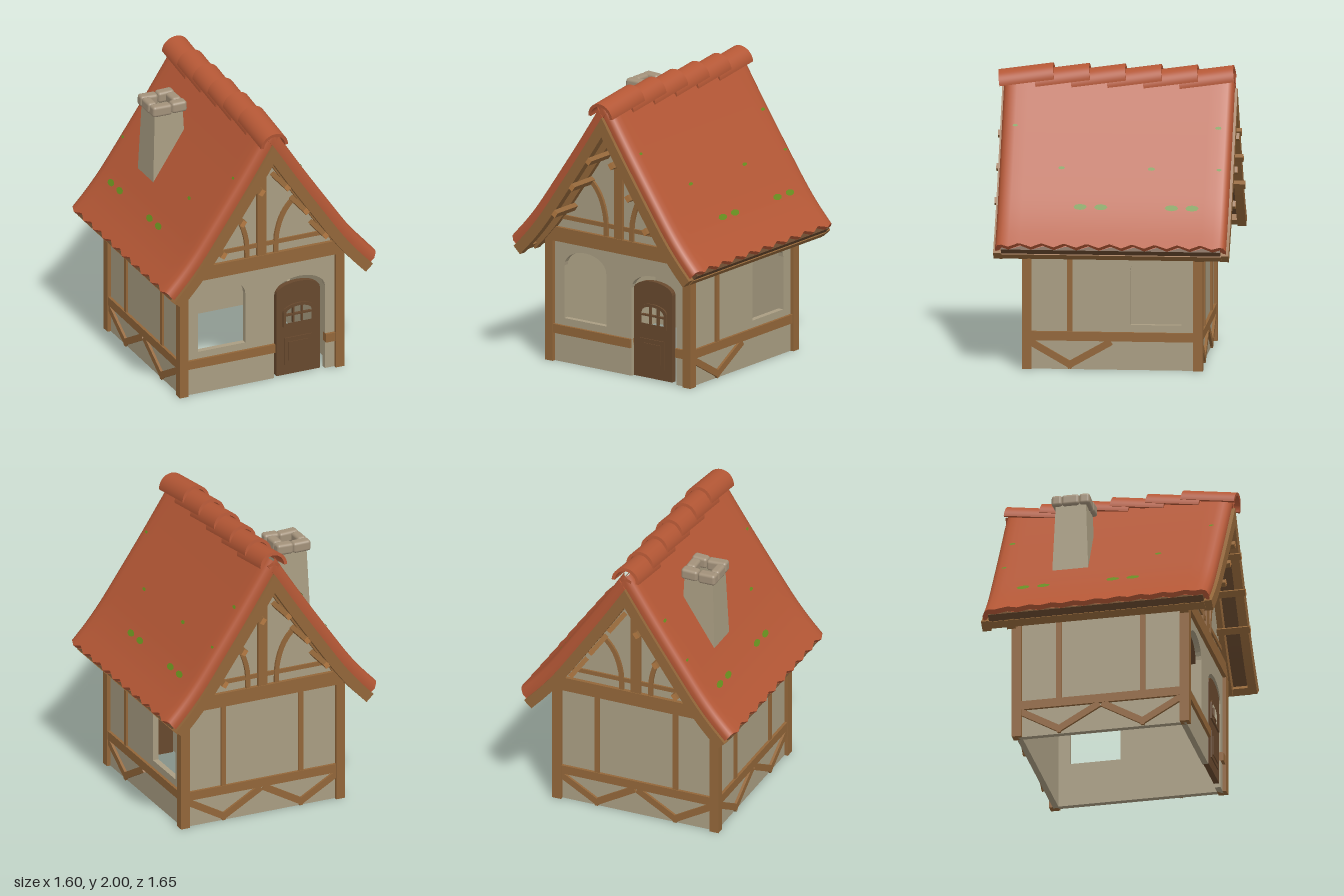
import * as THREE from 'three';
import { toCreasedNormals } from 'three/addons/utils/BufferGeometryUtils.js';
import { RoundedBoxGeometry } from 'three/addons/geometries/RoundedBoxGeometry.js';

const V = (x, y) => new THREE.Vector2(x, y);
const material = (name, color, side = THREE.FrontSide) => {
  const m = new THREE.MeshStandardMaterial({ color, side });
  m.name = name;
  return m;
};

export function createModel() {
  const house = new THREE.Group();
  house.name = 'cottage';
  const plaster = material('plaster', 0xa99d82, THREE.DoubleSide);
  const timber = material('timber', 0x926639);
  const cutWood = material('cut wood', 0xb47a42);
  const darkWood = material('dark wood', 0x67482d);
  const tile = material('roof tile', 0xb45735);
  const stone = material('stone', 0xa2917a);
  const moss = material('moss', 0x658c1e, THREE.DoubleSide);

  const add = (parent, name, geo, mat, x = 0, y = 0, z = 0) => {
    const m = new THREE.Mesh(geo, mat);
    m.name = name;
    m.position.set(x, y, z);
    parent.add(m);
    return m;
  };
  const box = (parent, name, mat, x0, x1, y0, y1, z0, z1) =>
    add(parent, name, new THREE.BoxGeometry(x1 - x0, y1 - y0, z1 - z0), mat,
      (x0 + x1) / 2, (y0 + y1) / 2, (z0 + z1) / 2);
  const slab = (parent, name, mat, shape, z0, z1) =>
    add(parent, name, new THREE.ExtrudeGeometry(shape, { depth: z1 - z0, bevelEnabled: false, curveSegments: 16 }), mat, 0, 0, z0);

  // Arched outline, from the lower left over the top to the lower right
  const arch = (x0, x1, y0, spring, top) => {
    const pts = [V(x0, y0)];
    for (let i = 0; i <= 14; i++) {
      const a = Math.PI * (1 - i / 14);
      pts.push(V((x0 + x1) / 2 + Math.cos(a) * (x1 - x0) / 2, spring + Math.sin(a) * (top - spring)));
    }
    return [...pts, V(x1, y0)];
  };

  // Roof slope curve; d is the depth below the tile surface
  const slope = new THREE.SplineCurve([V(0.025, 1.955), V(0.24, 1.623), V(0.477, 1.275), V(0.59, 1.115), V(0.69, 0.992), V(0.8, 0.874)]);
  const below = (t, d) => {
    const p = slope.getPoint(t), g = slope.getTangent(t);
    return V(p.x + g.y * d, p.y - g.x * d);
  };
  const half = (d) => {
    const pts = [];
    for (let i = 0; i <= 20; i++) pts.push(below(i / 20, d));
    const kept = pts.filter((p) => p.x > 0.01);
    const [a, b] = kept;
    return [V(0, a.y + a.x * (a.y - b.y) / (b.x - a.x)), ...kept];
  };
  const mirror = (pts) => pts.map((p) => V(-p.x, p.y));
  const chevron = (d0, d1) => {
    const o = half(d0), i = half(d1);
    return new THREE.Shape([...mirror(o).reverse(), ...o.slice(1), ...i.slice().reverse(), ...mirror(i).slice(1)]);
  };

  // Tiled slopes: edges rolled down over the gables and a toothed eave.
  // Each column is [z, top depth, bottom depth, notch]
  const edge = [[-0.775, 0.08, 0.084, 0.4], [-0.785, 0.045, 0.084, 0.4], [-0.768, 0.015, 0.084, 0.6], [-0.74, 0.003, 0.05, 0.5]];
  const columns = [...edge];
  for (let i = 1; i < 20; i++) columns.push([-0.77 + 0.077 * i, 0, 0.035, (i + 1) % 2]);
  columns.push(...edge.map(([z, ...rest]) => [-z, ...rest]).reverse());
  const loop = [...columns, ...columns.map(([z, , d, n]) => [z, d, d, n]).reverse()];
  const roofSide = (side) => {
    const rows = 20, n = loop.length, pos = [], index = [];
    const tri = (a, b, c) => (side > 0 ? index.push(a, b, c) : index.push(a, c, b));
    for (let r = 0; r <= rows; r++) {
      for (const [z, d, , notch] of loop) {
        const p = below(r / rows, d);
        if (r === rows) p.addScaledVector(slope.getTangent(1), -0.035 * notch);
        pos.push(side * p.x, p.y, z);
      }
    }
    for (let r = 0; r < rows; r++) {
      for (let c = 0; c < n; c++) {
        const a = r * n + c, b = r * n + (c + 1) % n;
        tri(a, b, a + n);
        tri(b, b + n, a + n);
      }
    }
    for (let c = 0; c < columns.length - 1; c++) {
      const a = rows * n + c, b = rows * n + n - 1 - c;
      tri(a, a + 1, b);
      tri(a + 1, b - 1, b);
    }
    const g = new THREE.BufferGeometry();
    g.setAttribute('position', new THREE.Float32BufferAttribute(pos, 3));
    g.setIndex(index);
    return toCreasedNormals(g, 0.8);
  };

  const patches = [[1.115, 0.22, 1], [1.115, 0.08, 1], [1.115, -0.4, 1], [1.115, -0.54, 1],
    [1.355, 0.36, 0.5], [1.355, -0.25, 0.55], [1.355, -0.71, 0.4], [1.61, 0.69, 0.4], [1.61, -0.69, 0.5]];
  for (const side of [1, -1]) {
    add(house, 'roofSlope', roofSide(side), tile);
    // Moss patches lying on the tiles
    for (const [y, z, size] of patches) {
      let t = 0;
      while (slope.getPoint(t).y > y) t += 0.004;
      const p = below(t, -0.005), g = slope.getTangent(t);
      const m = add(house, 'mossPatch', new THREE.CircleGeometry(0.046 * size, 8), moss, side * p.x, p.y, z);
      m.scale.y = 0.5;
      m.lookAt(p.x * side - g.y * side, p.y + g.x, z);
    }
    // Purlins under the rafters, with pale cut ends
    for (const [x, y] of [[0.38, 1.11], [0.235, 1.32], [0.095, 1.525]]) {
      const p = add(house, 'purlin', new THREE.BoxGeometry(0.034, 0.044, 1.64),
        [timber, timber, timber, timber, cutWood, cutWood], side * x, y, 0);
      p.rotation.z = side * 0.62;
    }
    // Batten along the eave
    const e = below(0.965, 0.11), g = slope.getTangent(0.965);
    const batten = add(house, 'eaveBatten', new THREE.BoxGeometry(0.05, 0.05, 1.5), timber, side * e.x, e.y, 0);
    batten.rotation.z = side * Math.atan2(g.y, g.x);
  }

  // Boards and rafters below the tiles
  slab(house, 'roofBoards', darkWood, chevron(0.036, 0.085), -0.745, 0.745);
  for (const z of [-0.77, -0.6, 0.6, 0.77]) slab(house, 'rafter', timber, chevron(0.08, 0.153), z - 0.03, z + 0.03);

  // Overlapping ridge caps
  const cap = new THREE.Shape();
  cap.absarc(0, 0, 0.1, 0, Math.PI, false);
  cap.absarc(0, 0, 0.078, Math.PI, 0, true);
  const capGeo = toCreasedNormals(new THREE.ExtrudeGeometry(cap, { depth: 0.375, bevelEnabled: false, curveSegments: 14 }), 0.6);
  for (let i = 0; i < 6; i++) {
    add(house, 'ridgeCap', capGeo, tile, 0, 1.902, 0.44 - 0.245 * i).rotation.x = 0.14;
  }

  // Chimney: open tapered shaft with a ring of stones
  const shaft = new THREE.CylinderGeometry(0.105 * Math.SQRT2, 0.128 * Math.SQRT2, 0.58, 4, 1, true).rotateY(Math.PI / 4).toNonIndexed();
  shaft.computeVertexNormals();
  add(house, 'chimneyShaft', shaft, plaster, -0.35, 1.48, -0.24);
  const stones = [[-0.415, -0.333, 0.13, 0.074], [-0.288, -0.335, 0.122, 0.074], [-0.405, -0.145, 0.145, 0.074],
    [-0.278, -0.143, 0.112, 0.074], [-0.447, -0.24, 0.066, 0.122], [-0.265, -0.24, 0.07, 0.118]];
  stones.forEach(([x, z, w, d], i) => {
    const s = add(house, 'chimneyStone', new RoundedBoxGeometry(w, 0.078, d, 3, 0.02), stone, x, 1.798 + (i % 2) * 0.005, z);
    s.rotation.set(0, (i % 3 - 1) * 0.03, (i % 2 - 0.5) * 0.06);
  });

  // Walls: each is laid out facing +z, then turned into place
  const window = (x0, x1) => new THREE.Path(arch(x0, x1, 0.31, 0.68, 0.795));
  const bar = (parent, name, x0, y0, x1, y1, w) => {
    const b = add(parent, name, new THREE.BoxGeometry(Math.hypot(x1 - x0, y1 - y0), w, 0.04), timber, (x0 + x1) / 2, (y0 + y1) / 2, 0.588);
    b.rotation.z = Math.atan2(y1 - y0, x1 - x0);
  };
  const wall = (name, turn, { gable, door = [], hole, studs, rails = [[-0.57, 0.57]] }) => {
    const g = new THREE.Group();
    g.name = name;
    g.rotation.y = turn;
    house.add(g);
    const roofLine = gable ? half(0.075).filter((p) => p.x < 0.57) : [];
    const shape = new THREE.Shape([V(-0.59, 0), ...door, V(0.59, 0), V(0.59, 0.97), ...roofLine.slice().reverse(),
      ...mirror(roofLine).slice(1), V(-0.59, 0.97)]);
    if (hole) shape.holes.push(window(...hole));
    slab(g, 'wallPanel', plaster, shape, 0.55, 0.59);
    box(g, 'cornerPost', timber, 0.55, 0.615, 0, 0.9, 0.55, 0.615);
    for (const [a, b] of rails) box(g, 'rail', timber, a, b, 0.198, 0.26, 0.56, 0.61);
    for (const s of studs) {
      box(g, 'stud', timber, s - 0.018, s + 0.018, 0.26, 0.95, 0.57, 0.605);
      const out = Math.sign(s);
      bar(g, 'brace', out * 0.57, 0.193, out * 0.27, 0.022, 0.046);
      bar(g, 'brace', out * 0.31, 0.022, out * 0.01, 0.193, 0.046);
    }
    if (!gable) return g;
    // Gable timbers
    box(g, 'tieBeam', timber, -0.6, 0.6, 0.85, 0.95, 0.56, 0.617);
    box(g, 'collarBeam', timber, -0.5, 0.5, 1.01, 1.04, 0.57, 0.603);
    box(g, 'kingPost', timber, -0.035, 0.035, 0.95, 1.7, 0.57, 0.612);
    for (const s of [1, -1]) {
      const c = new THREE.SplineCurve([V(s * 0.107, 0.95), V(s * 0.113, 1.08), V(s * 0.147, 1.2), V(s * 0.2, 1.285), V(s * 0.262, 1.34)]);
      const strip = (w) => Array.from({ length: 13 }, (_, i) => {
        const p = c.getPoint(i / 12), t = c.getTangent(i / 12);
        return V(p.x - t.y * w, p.y + t.x * w);
      });
      slab(g, 'archedBrace', timber, new THREE.Shape([...strip(-0.016), ...strip(0.016).reverse()]), 0.57, 0.608);
    }
    return g;
  };
  const front = wall('frontWall', 0, {
    gable: true, door: arch(0.1, 0.48, 0, 0.62, 0.73), hole: [-0.47, -0.115], studs: [], rails: [[-0.57, 0.1], [0.48, 0.57]],
  });
  wall('leftWall', Math.PI / 2, { hole: [0.12, 0.47], studs: [-0.29] });
  wall('backWall', Math.PI, { gable: true, studs: [-0.29, 0.29] });
  wall('rightWall', -Math.PI / 2, { studs: [-0.29, 0.29] });

  // Door with a barred window and a raised lower panel
  const pane = () => arch(0.185, 0.378, 0.39, 0.47, 0.515);
  const door = new THREE.Shape(arch(0.118, 0.442, 0.01, 0.62, 0.692));
  door.holes.push(new THREE.Path(pane()));
  slab(front, 'door', darkWood, door, 0.552, 0.59);
  const frame = new THREE.Shape(arch(0.163, 0.4, 0.37, 0.48, 0.535));
  frame.holes.push(new THREE.Path(pane()));
  slab(front, 'doorWindowFrame', darkWood, frame, 0.59, 0.602);
  for (const x of [0.249, 0.314]) box(front, 'windowBar', darkWood, x - 0.006, x + 0.006, 0.385, 0.515, 0.565, 0.585);
  box(front, 'windowBar', darkWood, 0.18, 0.382, 0.44, 0.452, 0.565, 0.585);
  box(front, 'doorPanel', darkWood, 0.175, 0.378, 0.085, 0.285, 0.59, 0.598);
  box(front, 'doorPanelInset', darkWood, 0.205, 0.348, 0.115, 0.255, 0.598, 0.604);
  return house;
}
